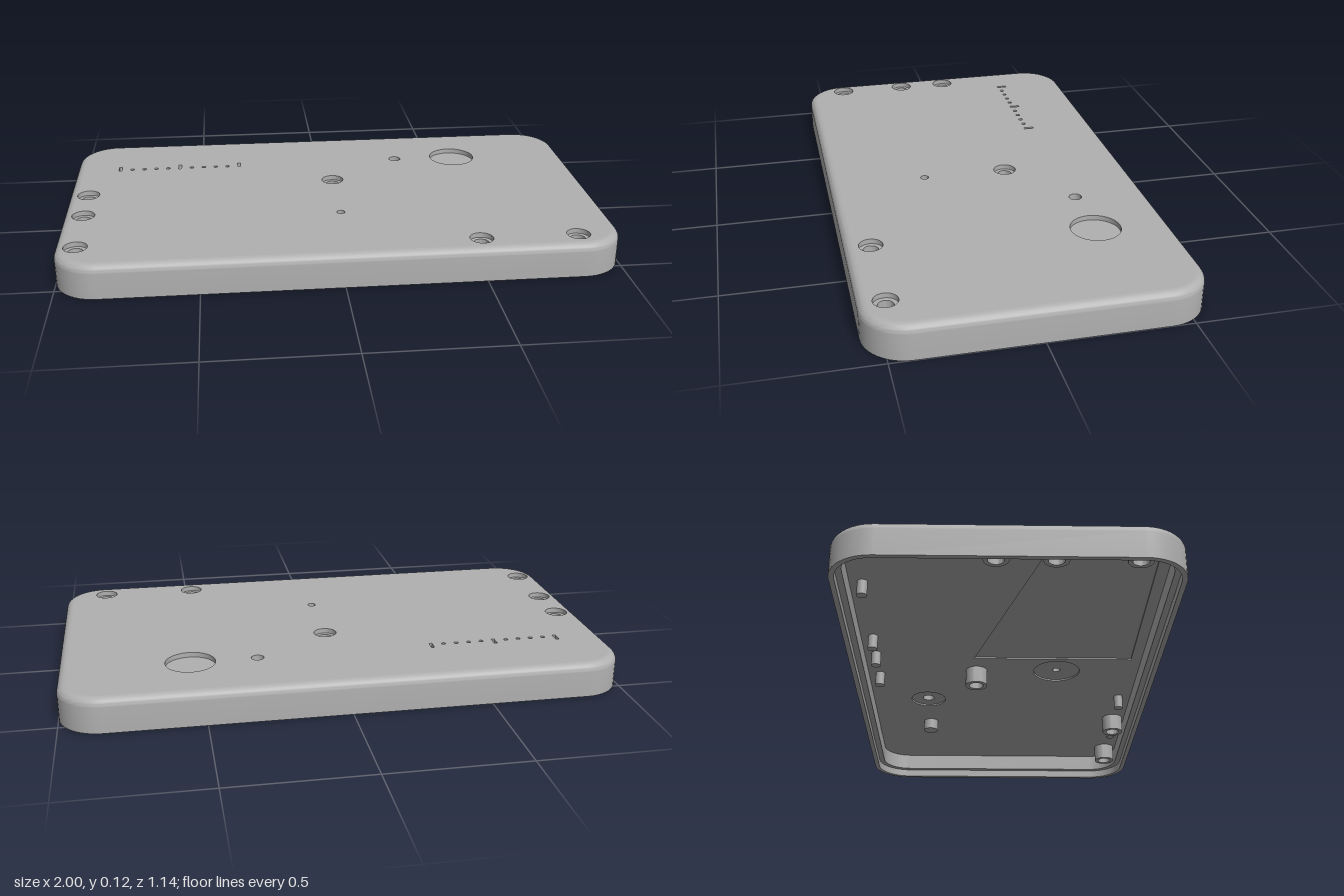
import * as THREE from 'three';
import { toCreasedNormals } from 'three/addons/utils/BufferGeometryUtils.js';

const HX = 1, HZ = 0.57, CORNER = 0.15, HEIGHT = 0.125, FILLET = 0.03;

// Screw positions, through holes and solid pegs as [x, z]
const screws = [[-0.927, -0.04], [-0.927, 0.15], [-0.927, 0.415], [0.02, -0.105], [0.49, 0.48], [0.84, 0.48]];
const lightHoles = [[0.3, -0.305, 0.023, 0.07], [0.02, 0.21, 0.015, 0.09]]; // x, z, radius, recess radius
const pegs = [[0.58, 0.48], [0.26, 0.48], [0.05, -0.485], [-0.13, -0.485], [-0.27, -0.485], [-0.67, -0.485]];

// Rounded rectangle outline, moved inwards by inset
function outline(inset) {
  const r = CORNER - inset, pts = [];
  [[1, 1], [-1, 1], [-1, -1], [1, -1]].forEach(([sx, sy], k) => {
    for (let i = 0; i <= 12; i++) {
      const a = (k + i / 12) * Math.PI / 2;
      pts.push(new THREE.Vector2(sx * (HX - CORNER) + r * Math.cos(a), sy * (HZ - CORNER) + r * Math.sin(a)));
    }
  });
  return pts;
}

// Hole outlines (shape y is -z)
function circle(x, z, r) {
  return new THREE.Path().absarc(x, -z, r, 0, Math.PI * 2, true);
}
function rect(x0, x1, z0, z1) {
  return new THREE.Path([[x0, -z0], [x1, -z0], [x1, -z1], [x0, -z1]].map(p => new THREE.Vector2(...p)));
}

// Horizontal plate with holes between two heights
function plate(y0, y1, holes) {
  const shape = new THREE.Shape(outline(FILLET));
  shape.holes.push(...holes);
  const g = new THREE.ExtrudeGeometry(shape, { depth: y1 - y0, bevelEnabled: false, curveSegments: 16 });
  g.rotateX(-Math.PI / 2).translate(0, y0, 0);
  return toCreasedNormals(g, 0.6);
}

// Wall section swept around the outline
function wallGeometry() {
  const profile = [[0.04, 0.1], [0.04, 0.03], [0.018, 0.03], [0.018, 0], [0, 0]];
  for (let i = 0; i <= 8; i++) {
    const a = i / 8 * Math.PI / 2;
    profile.push([FILLET * (1 - Math.cos(a)), HEIGHT - FILLET * (1 - Math.sin(a))]);
  }
  const pos = [], index = [];
  const n = outline(0).length;
  for (const [inset, y] of profile) for (const p of outline(inset)) pos.push(p.x, y, -p.y);
  for (let i = 0; i < profile.length - 1; i++) {
    for (let j = 0; j < n; j++) {
      const a = i * n + j, b = i * n + (j + 1) % n;
      index.push(a, b, b + n, a, b + n, a + n);
    }
  }
  const g = new THREE.BufferGeometry();
  g.setAttribute('position', new THREE.Float32BufferAttribute(pos, 3));
  g.setIndex(index);
  return toCreasedNormals(g, 0.6);
}

export function createModel() {
  const model = new THREE.Group();
  model.name = 'enclosureCover';
  const grey = new THREE.MeshStandardMaterial({ color: 0xb0b0b0 });
  grey.name = 'grey plastic';
  const add = (name, geometry, x = 0, y = 0, z = 0) => {
    const mesh = new THREE.Mesh(geometry, grey);
    mesh.name = name;
    mesh.position.set(x, y, z);
    model.add(mesh);
  };

  add('outerWall', wallGeometry());

  // Top skin: counterbores, round recess and scale marks
  const marks = [];
  for (let i = 0; i <= 10; i++) {
    const x = -0.825 + i * 0.048;
    marks.push(i % 5 === 0 ? rect(x - 0.006, x + 0.006, -0.32, -0.28) : circle(x, -0.29, 0.008));
  }
  const through = () => lightHoles.map(([x, z, r]) => circle(x, z, r));
  add('topSkin', plate(0.107, HEIGHT, [
    ...screws.map(([x, z]) => circle(x, z, 0.042)), ...through(), circle(0.54, -0.305, 0.09), ...marks]));

  // Middle skin: screw holes and light holes
  const screwHoles = () => screws.map(([x, z]) => circle(x, z, 0.027));
  add('middleSkin', plate(0.101, 0.107, [...screwHoles(), ...through()]));

  // Inner skin: shallow recesses on the underside
  add('innerSkin', plate(0.095, 0.101, [
    ...screwHoles(), ...lightHoles.map(([x, z, , r]) => circle(x, z, r)),
    rect(-0.86, -0.09, -0.13, 0.49), rect(-0.93, -0.83, -0.345, -0.12)]));

  // Hollow screw bosses
  const bossProfile = [[0.027, 0.098], [0.027, 0.03], [0.042, 0.03], [0.042, 0.098]];
  const boss = toCreasedNormals(new THREE.LatheGeometry(bossProfile.map(p => new THREE.Vector2(...p)), 32), 0.6);
  screws.forEach(([x, z]) => add('screwBoss', boss, x, 0, z));

  // Solid pegs on the underside
  const peg = new THREE.CylinderGeometry(0.018, 0.018, 0.055, 20);
  pegs.forEach(([x, z]) => add('locatingPeg', peg, x, 0.07, z));
  add('recessPeg', new THREE.CylinderGeometry(0.03, 0.03, 0.045, 24), 0.54, 0.075, -0.305);

  return model;
}
